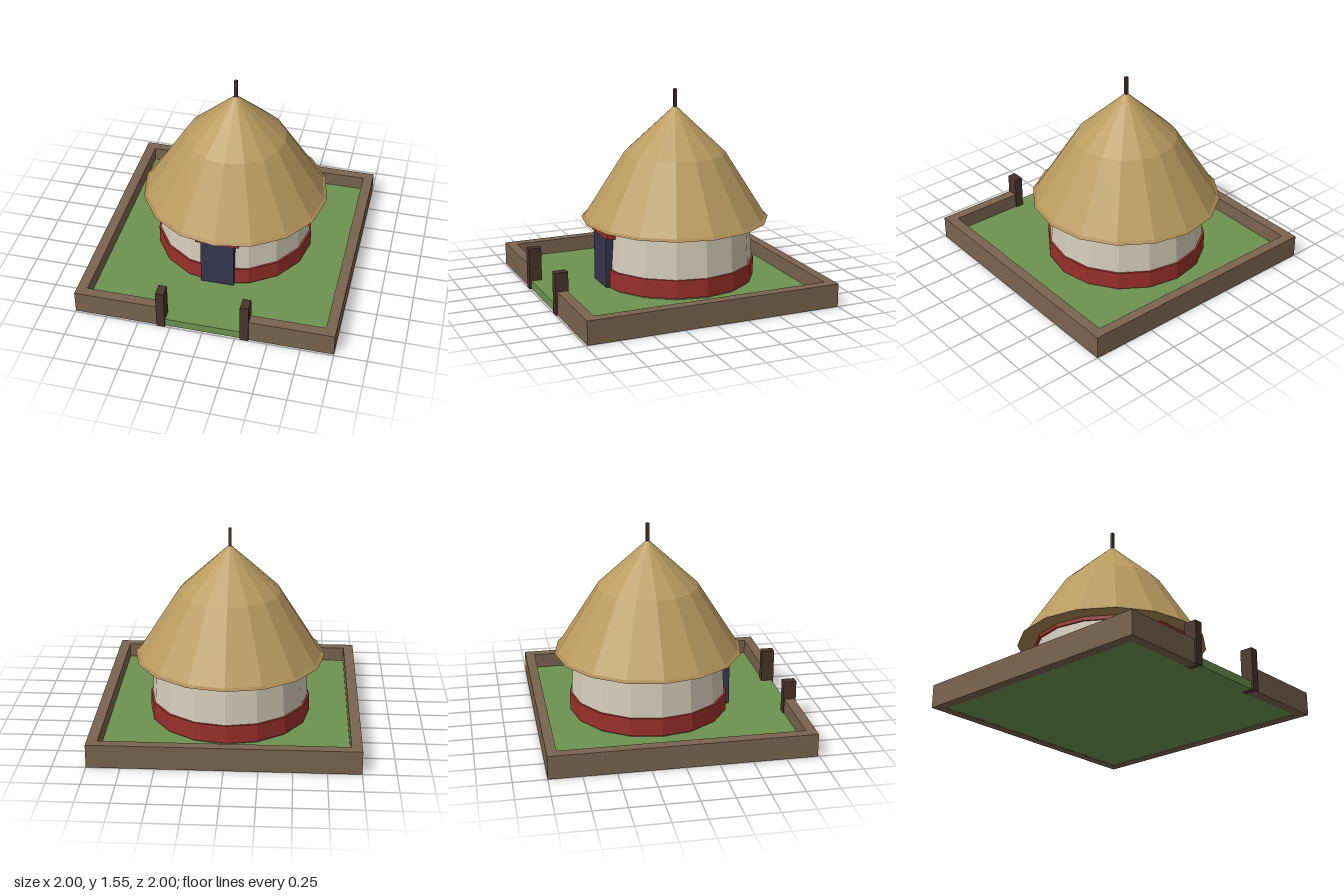
import * as THREE from 'three';

const SIDES = 16;
const HUT_Z = -0.105;

function paint(name, color) {
  const m = new THREE.MeshStandardMaterial({ color });
  m.name = name;
  return m;
}

// Faceted ring or dome turned from [radius, height] points, bottom to top
function turned(points) {
  const g = new THREE.LatheGeometry(points.map(([r, y]) => new THREE.Vector2(r, y)), SIDES).toNonIndexed();
  g.computeVertexNormals();
  return g;
}

export function createModel() {
  const model = new THREE.Group();
  model.name = 'walledRoundHut';

  const grass = paint('grass green', 0x6b9350);
  const earth = paint('earth brown', 0x7a644e);
  const plaster = paint('plaster cream', 0xd5ccb8);
  const red = paint('painted red', 0x9a302b);
  const thatch = paint('thatch tan', 0xba9b5f);
  const eaveTan = paint('eave tan', 0xaa8752);
  const navy = paint('door navy', 0x35364f);
  const wood = paint('dark wood', 0x4a342c);

  function add(parent, name, geometry, material) {
    const mesh = new THREE.Mesh(geometry, material);
    mesh.name = name;
    parent.add(mesh);
    return mesh;
  }

  // Box given by its extents on each axis
  function box(parent, name, [x0, x1], [y0, y1], [z0, z1], material) {
    const mesh = add(parent, name, new THREE.BoxGeometry(x1 - x0, y1 - y0, z1 - z0), material);
    mesh.position.set((x0 + x1) / 2, (y0 + y1) / 2, (z0 + z1) / 2);
    return mesh;
  }

  // Yard, enclosure walls and gate posts
  const yard = new THREE.Group();
  yard.name = 'yard';
  model.add(yard);
  box(yard, 'lawn', [-0.93, 0.93], [0.002, 0.065], [-0.93, 0.985], grass);
  box(yard, 'backWall', [-1, 1], [0, 0.18], [-1, -0.925], earth);
  for (const [side, s] of [['left', 1], ['right', -1]]) {
    const span = (a, b) => (s > 0 ? [a, b] : [-b, -a]);
    box(yard, side + 'Wall', span(0.92, 1), [0, 0.18], [-0.925, 0.91], earth);
    box(yard, side + 'FrontWall', span(0.34, 1), [0, 0.18], [0.91, 0.987], earth);
    box(yard, side + 'GatePost', span(0.29, 0.355), [0, 0.325], [0.9, 1], wood);
  }

  // Round hut body
  const hut = new THREE.Group();
  hut.name = 'hut';
  hut.position.z = HUT_Z;
  model.add(hut);
  add(hut, 'footing', turned([[0.6, 0.06], [0.6, 0.08]]), earth);
  add(hut, 'plinth', turned([[0.5, 0.08], [0.62, 0.08], [0.62, 0.22], [0.58, 0.22]]), red);
  add(hut, 'roundWall', turned([[0.605, 0.22], [0.585, 0.55]]), plaster);
  add(hut, 'topBand', turned([[0.57, 0.52], [0.6, 0.52], [0.6, 0.55]]), red);

  // Door and lintel
  box(hut, 'door', [-0.13, 0.13], [0.08, 0.47], [0.56, 0.625], navy);
  box(hut, 'lintel', [-0.17, 0.17], [0.47, 0.53], [0.56, 0.63], red);

  // Thatched roof with flared eave and finial
  add(hut, 'eave', turned([[0, 0.55], [0.73, 0.55], [0.7, 0.567]]), eaveTan);
  add(hut, 'thatchRoof', turned([[0.705, 0.565], [0.39, 1.065], [0, 1.43]]), thatch);
  box(hut, 'finial', [-0.012, 0.012], [1.4, 1.555], [-0.012, 0.012], wood);

  return model;
}
